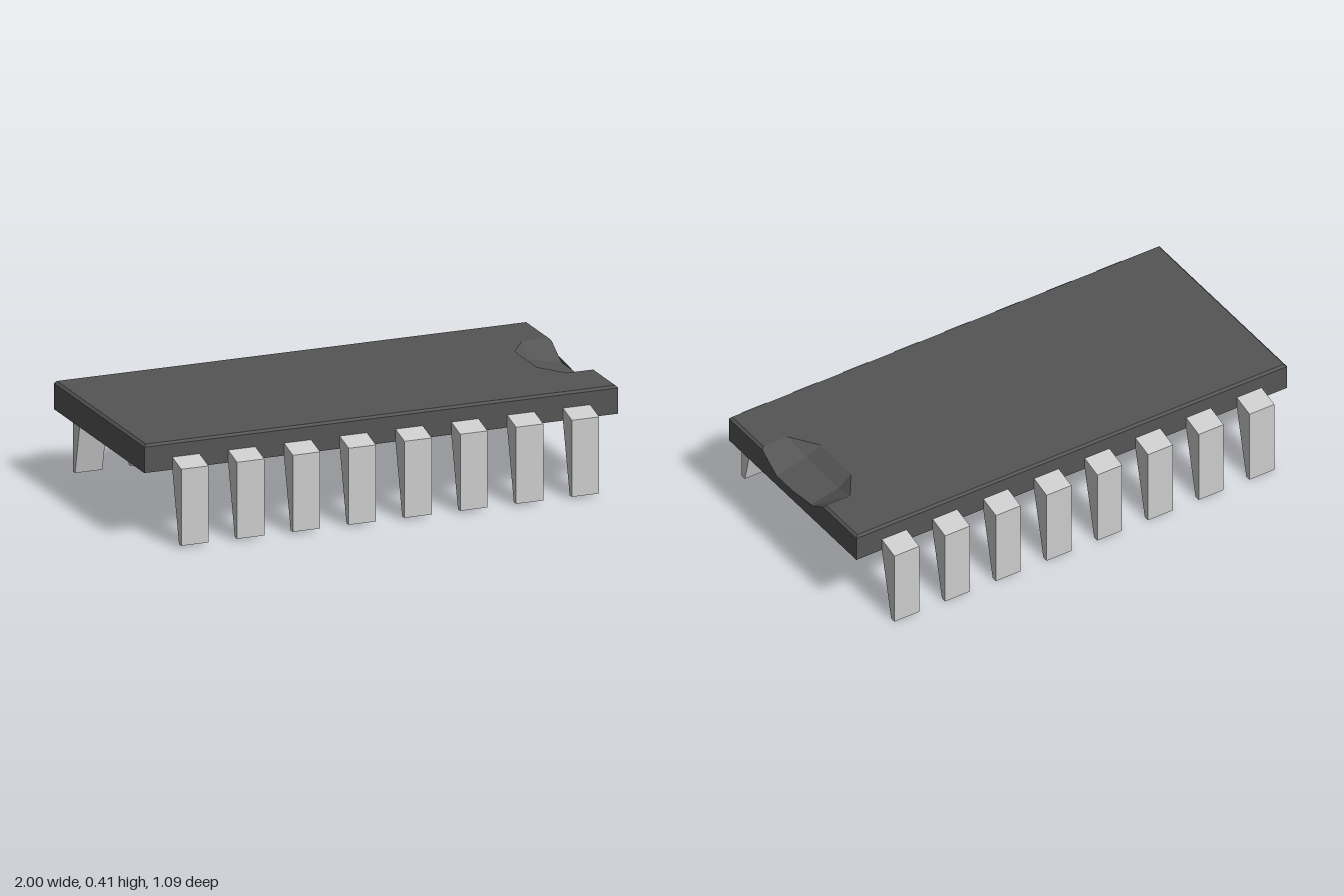
import * as THREE from 'three';

const bodyMaterial = new THREE.MeshStandardMaterial({ color: 0x555555, flatShading: true });
const legMaterial = new THREE.MeshStandardMaterial({ color: 0xcccccc, flatShading: true });

// Half of the body (z >= 0) as polygons, mirrored to the other side
function createBody() {
  const y0 = 0.295, y1 = 0.4, y2 = 0.41; // bottom, bevel start, top
  const Z = 0.454, z2 = 0.446, X = 0.99; // outer side, bevelled top
  const yIn = 0.37, yOut = 0.34, xIn = 0.86, zFloor = 0.115; // notch floor
  const faces = [
    // bottom, long side and its bevel
    [[-1, y0, 0], [1, y0, 0], [1, y0, Z], [-1, y0, Z]],
    [[-1, y0, Z], [1, y0, Z], [1, y1, Z], [-1, y1, Z]],
    [[-1, y1, Z], [1, y1, Z], [X, y2, z2], [-X, y2, z2]],
    // plain end
    [[-1, y0, 0], [-1, y0, Z], [-1, y1, Z], [-1, y1, 0]],
    [[-1, y1, 0], [-1, y1, Z], [-X, y2, z2], [-X, y2, 0]],
    // notched end
    [[1, y0, Z], [1, y0, 0], [1, yOut, 0], [1, yOut, zFloor], [1, y1, 0.215], [1, y1, Z]],
    [[1, y1, Z], [1, y1, 0.215], [X, y2, 0.225], [X, y2, z2]],
    // top around the notch
    [[-X, y2, 0], [-X, y2, z2], [0.8, y2, z2], [0.8, y2, 0]],
    [[0.8, y2, 0.11], [0.8, y2, z2], [0.88, y2, z2], [0.88, y2, 0.225]],
    [[0.88, y2, 0.225], [0.88, y2, z2], [X, y2, z2], [X, y2, 0.225]],
    // notch floor, back wall, corner and side wall
    [[xIn, yIn, 0], [xIn, yIn, zFloor], [1, yOut, zFloor], [1, yOut, 0]],
    [[0.8, y2, 0], [0.8, y2, 0.11], [xIn, yIn, zFloor], [xIn, yIn, 0]],
    [[0.8, y2, 0.11], [0.88, y2, 0.225], [xIn, yIn, zFloor]],
    [[xIn, yIn, zFloor], [0.88, y2, 0.225], [X, y2, 0.225], [1, y1, 0.215], [1, yOut, zFloor]],
  ];
  const positions = [];
  const addFan = (p) => {
    for (let i = 1; i < p.length - 1; i++) positions.push(...p[0], ...p[i], ...p[i + 1]);
  };
  for (const face of faces) {
    addFan(face);
    addFan(face.map(([x, y, z]) => [x, y, -z]).reverse());
  }
  const geometry = new THREE.BufferGeometry();
  geometry.setAttribute('position', new THREE.Float32BufferAttribute(positions, 3));
  geometry.computeVertexNormals();
  const body = new THREE.Mesh(geometry, bodyMaterial);
  body.name = 'chipBody';
  return body;
}

// Tapered leg: side profile (z, y) extruded along x
function legGeometry(bottom) {
  const width = 0.115;
  const profile = [[0.454, 0.295], [0.521, bottom], [0.544, bottom], [0.544, 0.322], [0.454, 0.346]];
  const shape = new THREE.Shape(profile.map(([z, y]) => new THREE.Vector2(z, y)));
  return new THREE.ExtrudeGeometry(shape, { depth: width, bevelEnabled: false })
    .translate(0, 0, -width / 2)
    .rotateY(-Math.PI / 2);
}

export function createModel() {
  const model = new THREE.Group();
  model.name = 'integratedCircuit';
  model.add(createBody());

  // Two rows of eight legs
  const rows = [
    { name: 'frontLeg', geometry: legGeometry(0.01), turn: 0 },
    { name: 'backLeg', geometry: legGeometry(0), turn: Math.PI },
  ];
  for (const { name, geometry, turn } of rows) {
    for (let i = 0; i < 8; i++) {
      const leg = new THREE.Mesh(geometry, legMaterial);
      leg.name = name + (i + 1);
      leg.position.x = (i - 3.5) * 0.2355;
      leg.rotation.y = turn;
      model.add(leg);
    }
  }
  return model;
}
